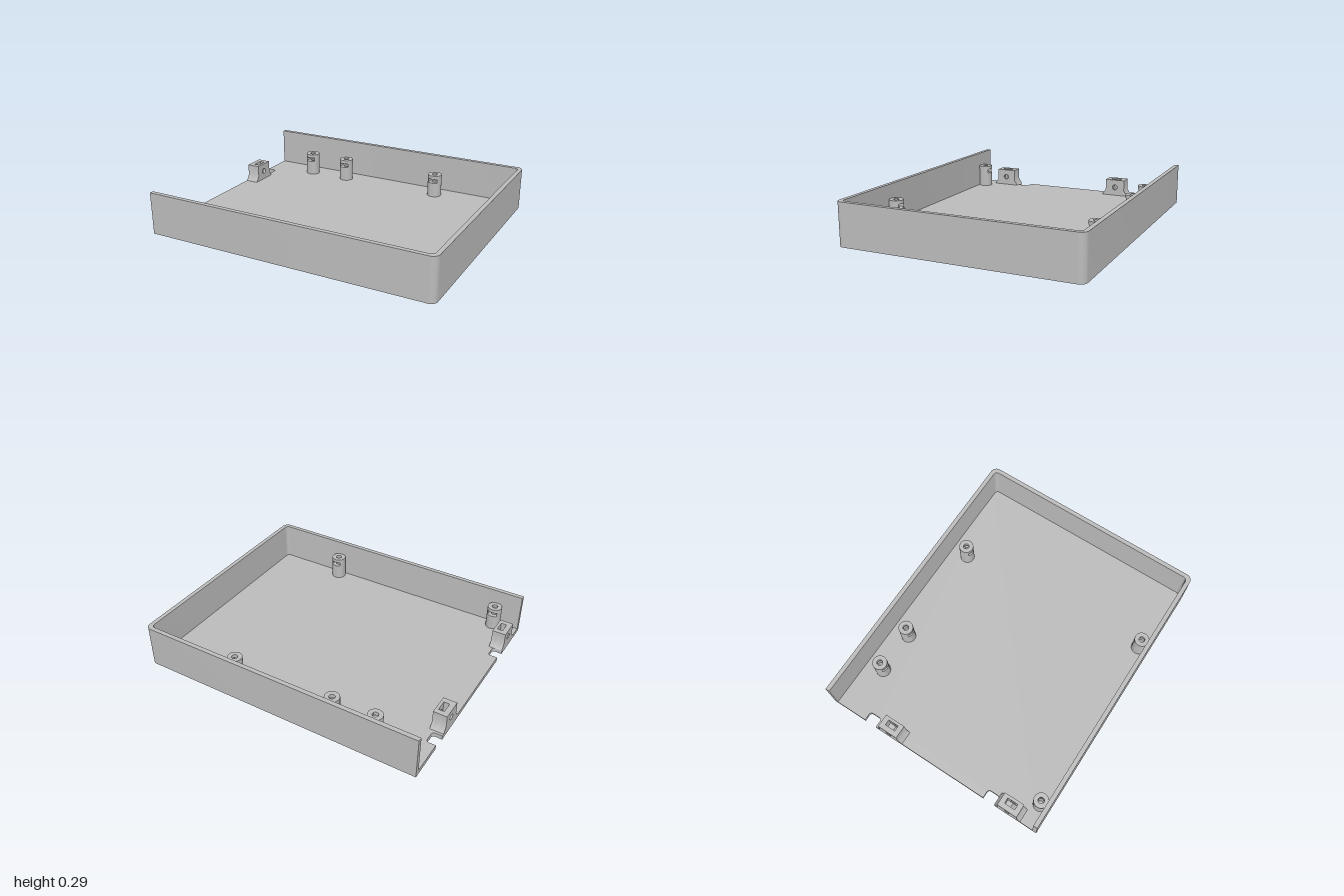
import * as THREE from 'three';
import { toCreasedNormals } from 'three/addons/utils/BufferGeometryUtils.js';

const WALL = 0.03, FLOOR = 0.03, HEIGHT = 0.29, HALF_X = 1, HALF_Z = 0.815;

export function createModel() {
  const grey = new THREE.MeshStandardMaterial({ color: 0xbbbbbb });
  grey.name = 'plainGrey';

  const extrude = (shape, depth) =>
    new THREE.ExtrudeGeometry(shape, { depth, bevelEnabled: false, curveSegments: 16 });
  const addMesh = (parent, name, geometry) => {
    const mesh = new THREE.Mesh(toCreasedNormals(geometry, 0.6), grey);
    mesh.name = name;
    parent.add(mesh);
    return mesh;
  };
  // Horizontal layer: the shape's y axis is -z in the model
  const addSlab = (parent, name, shape, y, height) => {
    const mesh = addMesh(parent, name, extrude(shape, height).rotateX(-Math.PI / 2));
    mesh.position.y = y;
    return mesh;
  };
  // Upright layer between two x positions: the shape's x axis is z in the model
  const addUpright = (parent, name, shape, x0, x1) => {
    const mesh = addMesh(parent, name, extrude(shape, x1 - x0).rotateY(-Math.PI / 2));
    mesh.position.x = x1;
    return mesh;
  };
  const circleHole = (x, y, r) => new THREE.Path().absarc(x, y, r, 0, Math.PI * 2, true);

  const tray = new THREE.Group();
  tray.name = 'openTray';

  // Floor with two rounded notches in the open edge
  const r = 0.045;
  const floor = new THREE.Shape();
  floor.moveTo(-HALF_X, -HALF_Z);
  floor.lineTo(HALF_X - r, -HALF_Z);
  floor.absarc(HALF_X - r, -HALF_Z + r, r, -Math.PI / 2, 0, false);
  floor.absarc(HALF_X - r, HALF_Z - r, r, 0, Math.PI / 2, false);
  floor.lineTo(-HALF_X, HALF_Z);
  for (const z of [-0.51, 0.45]) {
    const top = -z + 0.045, bottom = -z - 0.045, inner = -0.935, k = 0.02;
    floor.lineTo(-HALF_X, top);
    floor.lineTo(inner - k, top);
    floor.absarc(inner - k, top - k, k, Math.PI / 2, 0, true);
    floor.absarc(inner - k, bottom + k, k, 0, -Math.PI / 2, true);
    floor.lineTo(-HALF_X, bottom);
  }
  addSlab(tray, 'floor', floor, 0, FLOOR);

  // Three-sided wall, open at -x
  const ri = 0.025, ix = HALF_X - WALL, iz = HALF_Z - WALL;
  const wall = new THREE.Shape();
  wall.moveTo(-HALF_X, -HALF_Z);
  wall.lineTo(HALF_X - r, -HALF_Z);
  wall.absarc(HALF_X - r, -HALF_Z + r, r, -Math.PI / 2, 0, false);
  wall.absarc(HALF_X - r, HALF_Z - r, r, 0, Math.PI / 2, false);
  wall.lineTo(-HALF_X, HALF_Z);
  wall.lineTo(-HALF_X, iz);
  wall.lineTo(ix - ri, iz);
  wall.absarc(ix - ri, iz - ri, ri, Math.PI / 2, 0, true);
  wall.absarc(ix - ri, -iz + ri, ri, 0, -Math.PI / 2, true);
  wall.lineTo(-HALF_X, -iz);
  addSlab(tray, 'sideWalls', wall, FLOOR, HEIGHT - FLOOR);

  // Screw posts with a nut slot facing the middle of the tray
  const R = 0.05, slot = 0.033;
  const ring = new THREE.Shape().absarc(0, 0, R, 0, Math.PI * 2, false);
  ring.holes.push(circleHole(0, 0, 0.02));
  const a = Math.asin(slot / R);
  const slotted = new THREE.Shape();
  slotted.absarc(0, 0, R, -Math.PI / 2 + a, Math.PI * 1.5 - a, false);
  slotted.lineTo(-slot, 0.018);
  slotted.lineTo(0, 0.037);
  slotted.lineTo(slot, 0.018);
  for (const [x, z] of [[-0.645, -0.66], [-0.345, -0.66], [0.393, -0.66], [-0.83, 0.74], [0.457, 0.74]]) {
    const post = new THREE.Group();
    post.name = 'screwPost';
    addSlab(post, 'postBase', ring, FLOOR, 0.105);
    addSlab(post, 'postNutSlot', slotted, 0.135, 0.03);
    addSlab(post, 'postTop', ring, 0.165, 0.025);
    post.position.set(x, 0, z);
    if (z > 0) post.rotation.y = Math.PI;
    tray.add(post);
  }

  // Brackets on the open edge: flared foot, cross hole and nut pocket from above
  const top = 0.15, holeY = 0.092, half = 0.073, foot = 0.1, flare = 0.07;
  const bracketShape = (pocket) => {
    const s = new THREE.Shape();
    s.moveTo(-foot, FLOOR);
    s.lineTo(foot, FLOOR);
    s.lineTo(half, flare);
    s.lineTo(half, top);
    if (pocket) {
      s.lineTo(0.038, top);
      s.lineTo(0.038, holeY - 0.022);
      s.lineTo(0, holeY - 0.044);
      s.lineTo(-0.038, holeY - 0.022);
      s.lineTo(-0.038, top);
    } else {
      s.holes.push(circleHole(0, holeY, 0.02));
    }
    s.lineTo(-half, top);
    s.lineTo(-half, flare);
    return s;
  };
  for (const z of [-0.348, 0.59]) {
    const bracket = new THREE.Group();
    bracket.name = 'edgeBracket';
    addUpright(bracket, 'bracketOuterPlate', bracketShape(false), -1, -0.965);
    addUpright(bracket, 'bracketNutPocket', bracketShape(true), -0.965, -0.927);
    addUpright(bracket, 'bracketInnerPlate', bracketShape(false), -0.927, -0.907);
    bracket.position.z = z;
    tray.add(bracket);
  }
  return tray;
}
